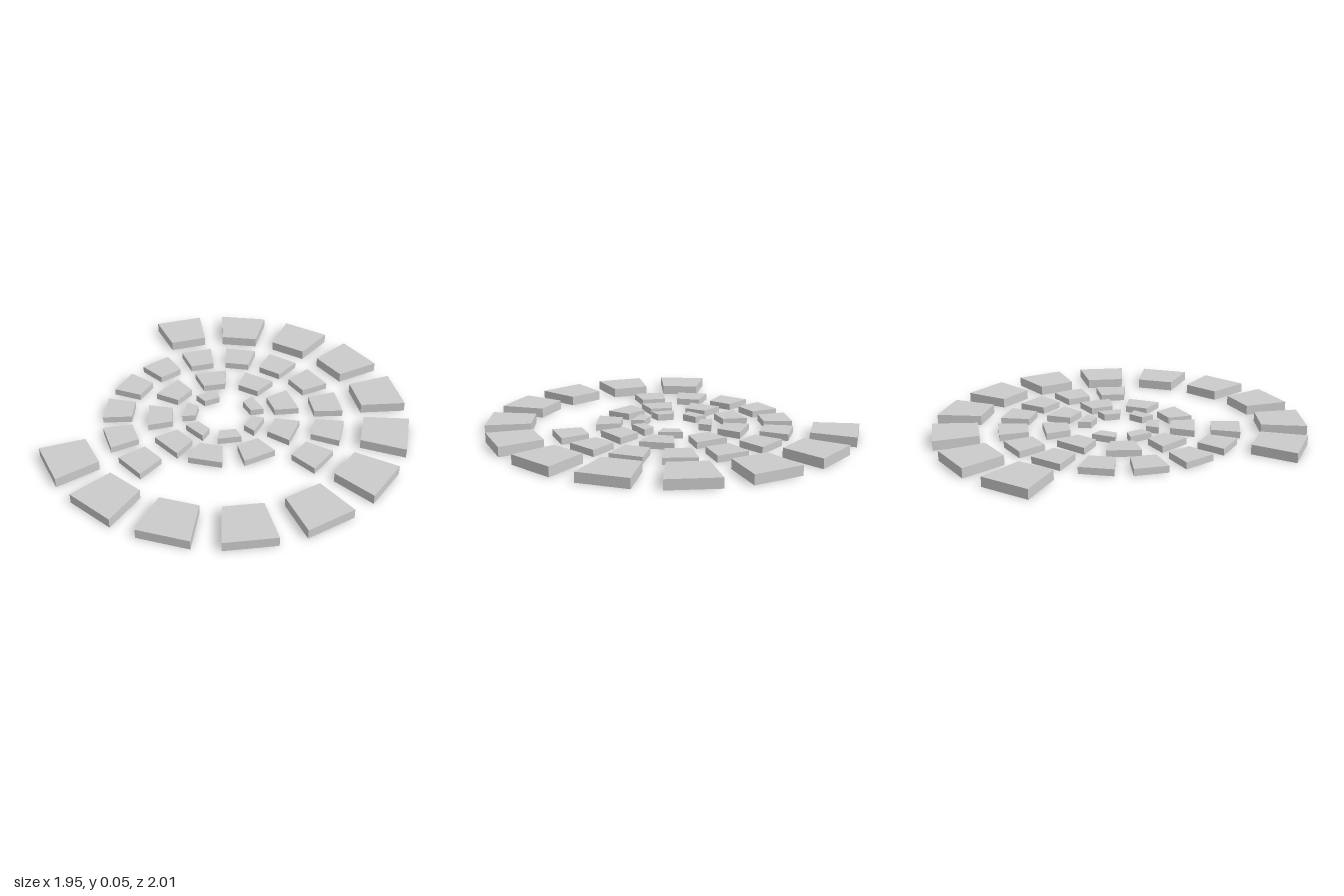
import * as THREE from 'three';

const rad = THREE.MathUtils.degToRad;

// Rings of wedge-shaped slabs, angles in degrees counter-clockwise from +x seen from above
const RINGS = [
  { name: 'innermostRing', count: 6, start: 162.5, step: 54.5, half: 16.8, inner: 0.153, outer: 0.225, height: 0.036 },
  { name: 'innerRing', count: 9, start: -56, step: 40.75, half: 12.5, inner: 0.283, outer: 0.417, height: 0.036 },
  { name: 'middleRing', count: 12, start: 9.8, step: 23.65, half: 7.75, inner: 0.498, outer: 0.654, height: 0.036 },
  { name: 'outerRing', count: 12, start: -106.4, step: 23.64, half: 7.75, inner: 0.76, outer: 1.003, height: 0.052 },
];

// Trapezoid slab with straight inner and outer edges, lying on the ground
function slabGeometry({ inner, outer, half, height }) {
  const corner = (r, deg) => new THREE.Vector2(r * Math.cos(rad(deg)), r * Math.sin(rad(deg)));
  const shape = new THREE.Shape([
    corner(inner, -half), corner(outer, -half), corner(outer, half), corner(inner, half),
  ]);
  return new THREE.ExtrudeGeometry(shape, { depth: height, bevelEnabled: false }).rotateX(-Math.PI / 2);
}

export function createModel() {
  const model = new THREE.Group();
  model.name = 'steppingStoneRings';
  const material = new THREE.MeshStandardMaterial({ color: 0xcccccc, flatShading: true });

  for (const ring of RINGS) {
    const group = new THREE.Group();
    group.name = ring.name;
    group.position.x = -0.024;
    const geometry = slabGeometry(ring);
    for (let i = 0; i < ring.count; i++) {
      const slab = new THREE.Mesh(geometry, material);
      slab.name = 'stoneSlab';
      slab.rotation.y = rad(ring.start + i * ring.step);
      group.add(slab);
    }
    model.add(group);
  }
  return model;
}
